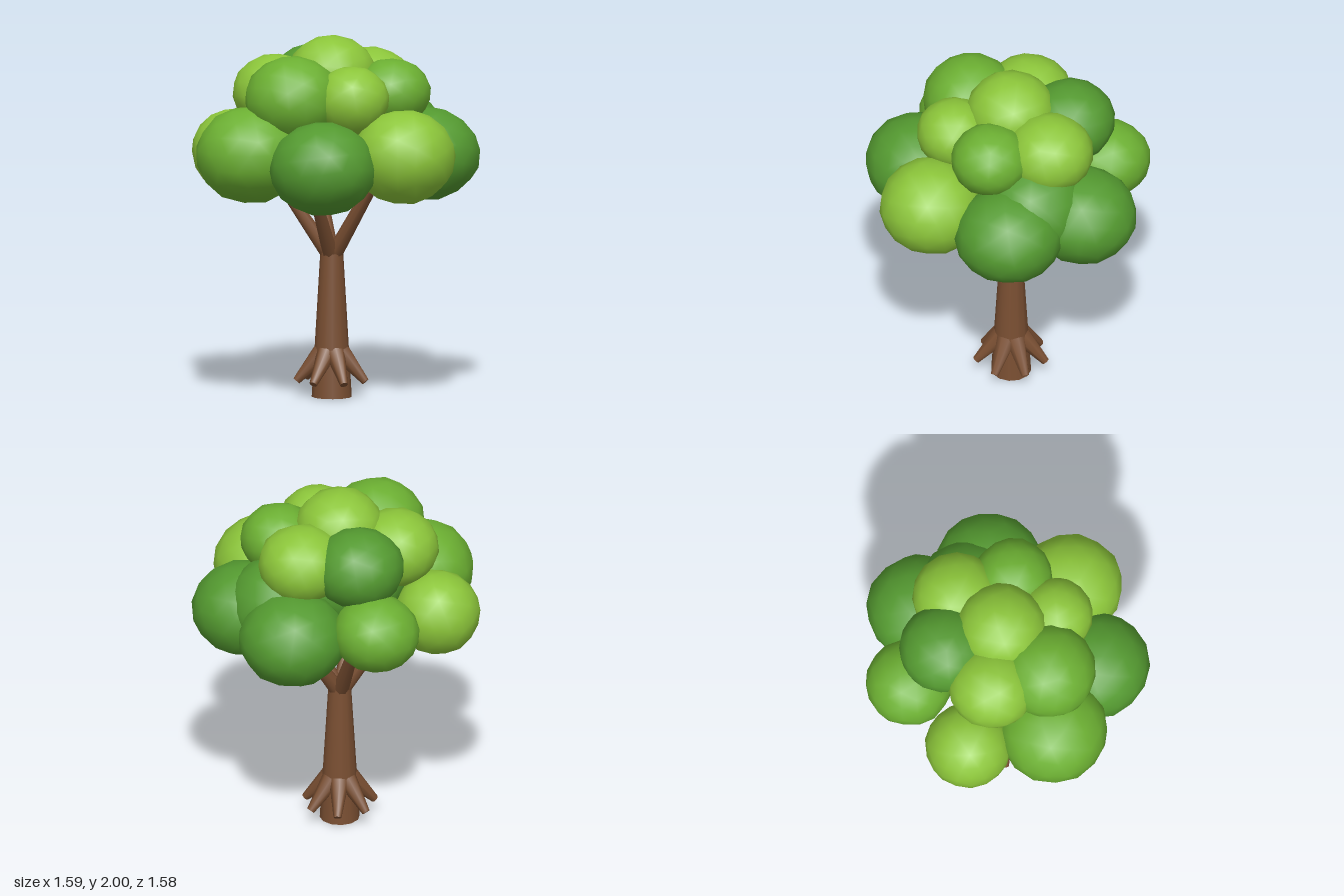
import * as THREE from 'three';
import { mergeVertices } from 'three/addons/utils/BufferGeometryUtils.js';

const paint = (color) => new THREE.MeshStandardMaterial({ color });
const BARK = paint(0x7a4f32);
const LIGHT = paint(0x8cc63a), MID = paint(0x6cb032), DARK = paint(0x549a30);
const AXIS_X = 0.03, AXIS_Z = -0.03;

// Slightly uneven, smooth-shaded leaf clump
function clumpGeometry(seed) {
  let g = new THREE.IcosahedronGeometry(1, 2);
  g.deleteAttribute('uv');
  g.deleteAttribute('normal');
  g = mergeVertices(g, 1e-4);
  g.rotateX(seed * 1.3);
  g.rotateY(seed * 2.1);
  const p = g.attributes.position;
  const v = new THREE.Vector3();
  for (let i = 0; i < p.count; i++) {
    v.fromBufferAttribute(p, i);
    const bump = Math.sin(v.x * 5 + seed) * Math.sin(v.y * 4 + seed * 2) * Math.sin(v.z * 5 + seed * 3);
    v.multiplyScalar(1.005 + 0.025 * bump);
    p.setXYZ(i, v.x, v.y, v.z);
  }
  g.computeVertexNormals();
  return g;
}

// Tapered limb between two points
function limb(name, from, to, rFrom, rTo) {
  const dir = to.clone().sub(from);
  const mesh = new THREE.Mesh(new THREE.CylinderGeometry(rTo, rFrom, dir.length(), 8), BARK);
  mesh.name = name;
  mesh.position.copy(from).addScaledVector(dir, 0.5);
  mesh.quaternion.setFromUnitVectors(new THREE.Vector3(0, 1, 0), dir.normalize());
  return mesh;
}

// Point around the trunk axis
const around = (angle, radius, y) => new THREE.Vector3(
  AXIS_X + Math.cos(angle) * radius, y, AXIS_Z + Math.sin(angle) * radius);

export function createModel() {
  const tree = new THREE.Group();
  tree.name = 'tree';

  // Trunk
  const trunk = new THREE.Mesh(new THREE.CylinderGeometry(0.06, 0.11, 0.85, 12), BARK);
  trunk.name = 'trunk';
  trunk.position.set(AXIS_X, 0.425, AXIS_Z);
  tree.add(trunk);

  // Roots
  const roots = new THREE.Group();
  roots.name = 'roots';
  for (let i = 0; i < 7; i++) {
    const a = (i / 7) * Math.PI * 2;
    roots.add(limb('root', around(a, 0.055, 0.245), around(a, 0.195, 0.09), 0.055, 0.022));
  }
  tree.add(roots);

  // Branches
  const branches = new THREE.Group();
  branches.name = 'branches';
  for (let i = 0; i < 5; i++) {
    const a = (i / 5) * Math.PI * 2;
    branches.add(limb('branch', around(a, 0.01, 0.78), around(a, 0.33, 1.25), 0.045, 0.026));
  }
  tree.add(branches);

  // Leaf clumps: x, y, z, horizontal radius, vertical radius, material
  const clumps = {
    lowerClump: [
      [0.50, 1.335, 0.19, 0.30, 0.255, DARK],
      [0.155, 1.38, 0.50, 0.285, 0.26, LIGHT],
      [-0.295, 1.335, 0.38, 0.295, 0.255, DARK],
      [-0.50, 1.38, -0.03, 0.30, 0.265, MID],
      [-0.32, 1.34, -0.465, 0.235, 0.23, LIGHT],
      [0.15, 1.385, -0.55, 0.24, 0.21, MID],
      [0.50, 1.33, -0.255, 0.295, 0.255, DARK],
    ],
    innerClump: [
      [0.40, 1.40, 0, 0.30, 0.28, DARK],
      [0.0, 1.5, -0.03, 0.36, 0.3, DARK],
    ],
    upperClump: [
      [0.27, 1.69, 0.20, 0.215, 0.19, MID],
      [-0.04, 1.68, 0.28, 0.205, 0.19, LIGHT],
      [-0.29, 1.68, 0.07, 0.265, 0.24, MID],
      [-0.20, 1.68, -0.235, 0.24, 0.21, LIGHT],
      [0.12, 1.69, -0.34, 0.25, 0.22, DARK],
      [0.34, 1.69, -0.12, 0.245, 0.21, LIGHT],
    ],
    topClump: [[0.03, 1.78, -0.03, 0.245, 0.22, LIGHT]],
  };
  const canopy = new THREE.Group();
  canopy.name = 'canopy';
  let seed = 1;
  for (const [name, list] of Object.entries(clumps)) {
    for (const [x, y, z, r, h, material] of list) {
      const geometry = clumpGeometry(seed++);
      geometry.scale(r, h, r);
      const mesh = new THREE.Mesh(geometry, material);
      mesh.name = name;
      mesh.position.set(x, y, z);
      canopy.add(mesh);
    }
  }
  tree.add(canopy);
  return tree;
}
